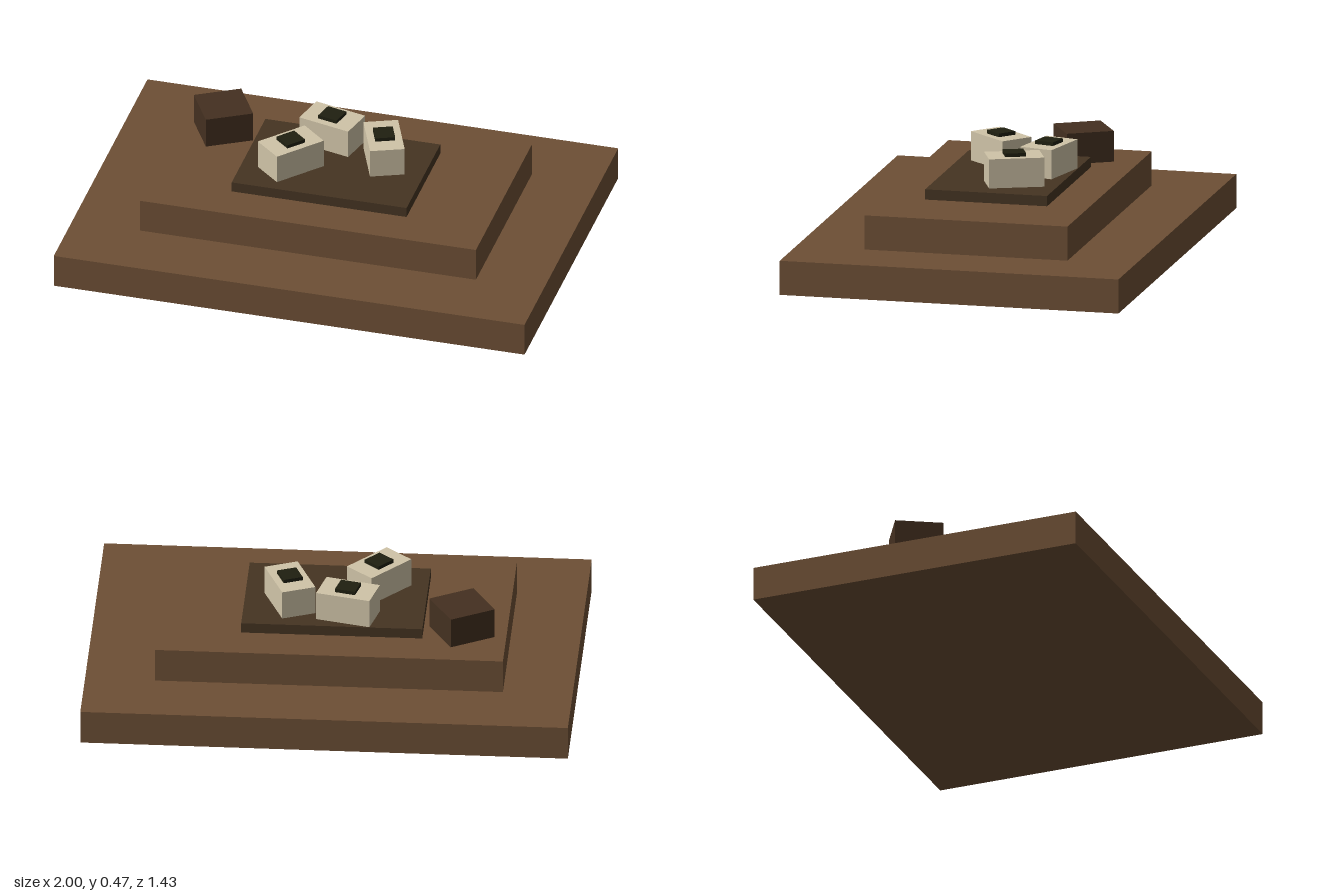
import * as THREE from 'three';

const material = (name, color) => {
  const m = new THREE.MeshStandardMaterial({ color });
  m.name = name;
  return m;
};

export function createModel() {
  const wood = material('brown wood', 0x6d4f35);
  const slate = material('dark tray', 0x453422);
  const darkWood = material('dark wood', 0x443020);
  const rice = material('pale rice', 0xd0c4a8);
  const nori = material('dark seaweed', 0x1f1f10);

  // Box standing on height y
  const box = (parent, name, mat, [w, h, d], [x, y, z], turn = 0) => {
    const mesh = new THREE.Mesh(new THREE.BoxGeometry(w, h, d), mat);
    mesh.name = name;
    mesh.position.set(x, y + h / 2, z);
    mesh.rotation.y = turn;
    parent.add(mesh);
  };

  const model = new THREE.Group();
  model.name = 'riceBlockDisplay';

  // Stepped table and serving tray
  box(model, 'lowerStep', wood, [2, 0.143, 1.428], [0, 0, 0]);
  box(model, 'upperStep', wood, [1.428, 0.143, 0.857], [0, 0.143, 0]);
  box(model, 'tray', slate, [0.743, 0.043, 0.514], [0, 0.286, 0]);

  // Small turned box beside the tray
  box(model, 'sideBox', darkWood, [0.2, 0.129, 0.2], [-0.53, 0.286, -0.187], 0.52);

  // Rice blocks, each with a seaweed square on top
  const blocks = [
    [-0.06, -0.158, -0.24],
    [0.184, -0.072, -1.18],
    [-0.172, 0.072, 0.85],
  ];
  for (const [x, z, turn] of blocks) {
    const block = new THREE.Group();
    block.name = 'riceBlock';
    block.position.set(x, 0.329, z);
    block.rotation.y = turn;
    box(block, 'rice', rice, [0.229, 0.122, 0.143], [0, 0, 0]);
    box(block, 'seaweed', nori, [0.086, 0.015, 0.082], [0, 0.122, 0]);
    model.add(block);
  }
  return model;
}
